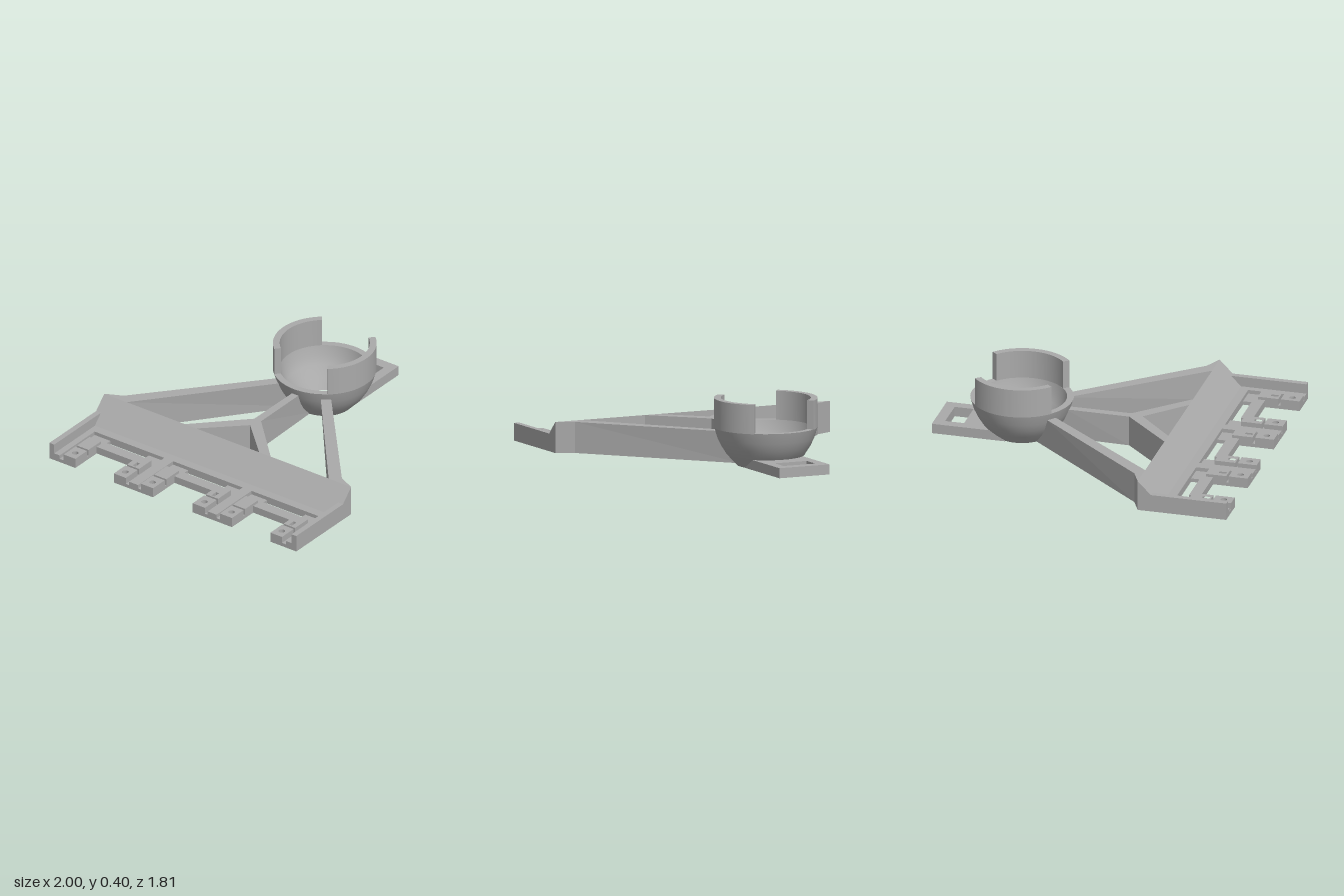
import * as THREE from 'three';
import { toCreasedNormals } from 'three/addons/utils/BufferGeometryUtils.js';

const CX = 0.495; // centre of the cup along x

export function createModel() {
  const model = new THREE.Group();
  model.name = 'cupBracket';
  const grey = new THREE.MeshStandardMaterial({ color: 0xaaaaaa });
  grey.name = 'matt grey';

  const add = (name, geometry) => {
    const mesh = new THREE.Mesh(geometry, grey);
    mesh.name = name;
    model.add(mesh);
    return mesh;
  };

  // Plan outlines are [x, z] pairs; shapes are drawn with y = -z.
  const plan = (pts) => new THREE.Shape(pts.map(([x, z]) => new THREE.Vector2(x, -z)));
  const rect = (x0, x1, z0, z1) => plan([[x0, z0], [x1, z0], [x1, z1], [x0, z1]]);
  const round = (x, z, r) => new THREE.Shape().absarc(x, -z, r, 0, Math.PI * 2);
  const raise = (shape, y0, y1, holes = []) => {
    shape.holes.push(...holes);
    const g = new THREE.ExtrudeGeometry(shape, { depth: y1 - y0, bevelEnabled: false, curveSegments: 32 });
    return g.rotateX(-Math.PI / 2).translate(0, y0, 0);
  };

  // Cross bar with its sloping back, full width
  const bar = new THREE.Shape([[-0.655, 0], [-0.46, 0], [-0.46, 0.185], [-0.6, 0.045], [-0.655, 0.045]]
    .map(([x, y]) => new THREE.Vector2(x, y)));
  add('crossBar', new THREE.ExtrudeGeometry(bar, { depth: 1.81, bevelEnabled: false }).translate(0, 0, -0.905));

  // Raised end walls
  const wall = new THREE.Shape([[-1, 0], [-0.46, 0], [-0.46, 0.185], [-0.54, 0.105], [-1, 0.105]]
    .map(([x, y]) => new THREE.Vector2(x, y)));
  for (const z of [-0.905, 0.87]) {
    add('endWall', new THREE.ExtrudeGeometry(wall, { depth: 0.035, bevelEnabled: false }).translate(0, 0, z));
  }

  // Clip positions: slot edge beside the deck, block edge beside the slot, free edge
  const clips = [
    { block: 0.8, edge: 0.715 },
    { block: 0.345, edge: 0.433 },
    { block: 0.235, edge: 0.145 },
  ];
  const floor = 0.022, deck = 0.045, clipTop = 0.062;
  const pegHole = (c, s) => round(-0.945, s * (c.block + c.edge) / 2, 0.019);
  const latchHole = (c, s) => {
    const z = s * (c.block + c.edge) / 2;
    return rect(-0.86, -0.815, z - 0.011, z + 0.011);
  };

  for (const s of [-1, 1]) {
    // Arm floors with through holes
    const arms = [[0.715, 0.905, [clips[0]]], [0.145, 0.433, [clips[1], clips[2]]]];
    for (const [a, b, list] of arms) {
      const holes = list.flatMap((c) => [pegHole(c, s), latchHole(c, s)]);
      add('armFloor', raise(rect(-1, -0.655, s * a, s * b), 0, floor, holes));
    }
    // Decks between the slots
    for (const [a, b] of [[0.83, 0.905], [0.255, 0.32]]) {
      add('armDeck', raise(rect(-1, -0.655, s * a, s * b), floor, deck));
    }
    // Clip blocks split by a narrow groove
    for (const c of clips) {
      add('clipEnd', raise(rect(-1, -0.885, s * c.block, s * c.edge), floor, clipTop, [pegHole(c, s)]));
      add('clipLatch', raise(rect(-0.87, -0.745, s * c.block, s * c.edge), floor, clipTop, [latchHole(c, s)]));
    }
    add('linkStrip', raise(rect(-0.79, -0.72, s * 0.433, s * 0.715), 0, deck));
  }
  add('linkStrip', raise(rect(-0.79, -0.72, -0.145, 0.145), 0, deck));

  // Struts: ends near the cup are pulled in to follow its sloping side
  const strut = (pts) => {
    const g = raise(plan(pts), 0, 0.185);
    const p = g.attributes.position;
    for (let i = 0; i < p.count; i++) {
      const dx = p.getX(i) - CX, dz = p.getZ(i), r = Math.hypot(dx, dz);
      if (r > 0.33) continue;
      const k = (p.getY(i) < 0.09 ? 0.15 : 0.275) / r;
      p.setX(i, CX + dx * k);
      p.setZ(i, dz * k);
    }
    g.computeVertexNormals();
    return g;
  };
  for (const s of [-1, 1]) {
    add('outerStrut', strut([[-0.46, 0.905], [-0.41, 0.8], [0.28, 0.21], [0.235, 0.16], [-0.46, 0.74]]
      .map(([x, z]) => [x, s * z])));
  }
  add('forkedStrut', strut([
    [-0.46, -0.315], [-0.165, -0.025], [0.2, -0.025], [0.2, 0.025], [-0.165, 0.025],
    [-0.46, 0.315], [-0.46, 0.23], [-0.24, 0], [-0.46, -0.23],
  ]));

  // Cup bowl, open at the bottom
  const profile = [
    [0.134, 0], [0.168, 0], [0.23, 0.065], [0.262, 0.115], [0.286, 0.165], [0.305, 0.228],
    [0.265, 0.228], [0.25, 0.17], [0.225, 0.12], [0.175, 0.06], [0.134, 0],
  ].map(([r, y]) => new THREE.Vector2(r, y));
  add('cupBowl', toCreasedNormals(new THREE.LatheGeometry(profile, 72), 0.6)).position.x = CX;

  // Two upright cup walls with radial ends
  const half = THREE.MathUtils.degToRad(50);
  for (const mid of [Math.PI / 2, -Math.PI / 2]) {
    const sector = new THREE.Shape();
    sector.absarc(0, 0, 0.305, mid - half, mid + half, false);
    sector.absarc(0, 0, 0.265, mid + half, mid - half, true);
    sector.closePath();
    add('cupWall', toCreasedNormals(raise(sector, 0.226, 0.4), 0.5)).position.x = CX;
  }

  // Front tab with a rectangular window, hollowed to fit around the bowl
  const tab = new THREE.Shape();
  const a = Math.asin(0.165 / 0.175);
  tab.moveTo(1, -0.165);
  tab.lineTo(1, 0.165);
  tab.absarc(CX, 0, 0.175, a, -a, true);
  tab.closePath();
  add('tab', raise(tab, 0, 0.06, [rect(0.82, 0.935, -0.105, 0.105)]));

  return model;
}
